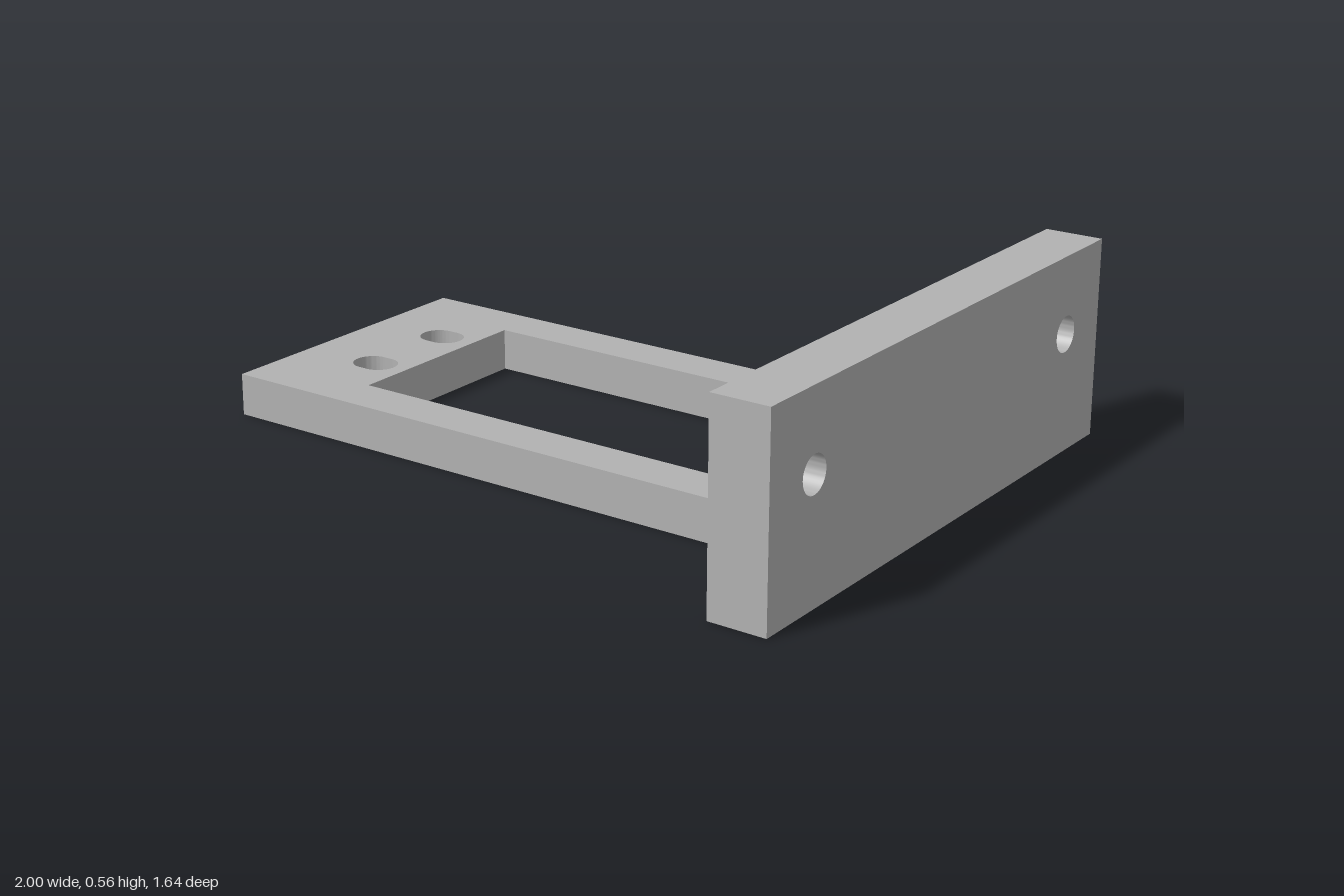
import * as THREE from 'three';
import { toCreasedNormals } from 'three/addons/utils/BufferGeometryUtils.js';

const WALL_X = 0.835, PLATE_H = 0.12, HALF_W = 0.44, FILLET = 0.08;

function rect(target, x0, y0, x1, y1) {
  target.moveTo(x0, y0);
  target.lineTo(x1, y0);
  target.lineTo(x1, y1);
  target.lineTo(x0, y1);
  target.closePath();
  return target;
}

// Rounded slot, elongated along x
function slot(cx, cy, r, half) {
  const p = new THREE.Path();
  p.absarc(cx + half, cy, r, -Math.PI / 2, Math.PI / 2, false);
  p.absarc(cx - half, cy, r, Math.PI / 2, Math.PI * 1.5, false);
  p.closePath();
  return p;
}

function extrude(shape, depth) {
  const g = new THREE.ExtrudeGeometry(shape, { depth, bevelEnabled: false, curveSegments: 24 });
  return toCreasedNormals(g, 0.6);
}

export function createModel() {
  const model = new THREE.Group();
  model.name = 'mountingBracket';
  const grey = new THREE.MeshStandardMaterial({ color: 0xb2b2b2 });
  grey.name = 'grey';
  const add = (name, geometry) => {
    const mesh = new THREE.Mesh(geometry, grey);
    mesh.name = name;
    model.add(mesh);
  };

  // Base plate with a rectangular window and four slots
  const base = rect(new THREE.Shape(), -1, -HALF_W, WALL_X, HALF_W);
  base.holes.push(rect(new THREE.Path(), -0.65, -0.302, 0.56, 0.302));
  for (const x of [-0.76, 0.667])
    for (const z of [-0.147, 0.147]) base.holes.push(slot(x, z, 0.053, 0.014));
  add('basePlate', extrude(base, PLATE_H).rotateX(-Math.PI / 2));

  // Upright mounting wall with two bolt holes
  const wall = rect(new THREE.Shape(), -0.82, 0, 0.82, 0.56);
  for (const z of [-0.63, 0.63]) {
    const hole = new THREE.Path();
    hole.absarc(z, 0.34, 0.051, 0, Math.PI * 2, false);
    wall.holes.push(hole);
  }
  add('mountingWall', extrude(wall, 1 - WALL_X).rotateY(Math.PI / 2).translate(WALL_X, 0, 0));

  // Concave fillet between plate and wall
  const fillet = new THREE.Shape();
  fillet.moveTo(WALL_X, PLATE_H);
  fillet.lineTo(WALL_X, PLATE_H + FILLET);
  fillet.absarc(WALL_X - FILLET, PLATE_H + FILLET, FILLET, 0, -Math.PI / 2, true);
  fillet.closePath();
  add('cornerFillet', extrude(fillet, HALF_W * 2).translate(0, 0, -HALF_W));

  return model;
}
